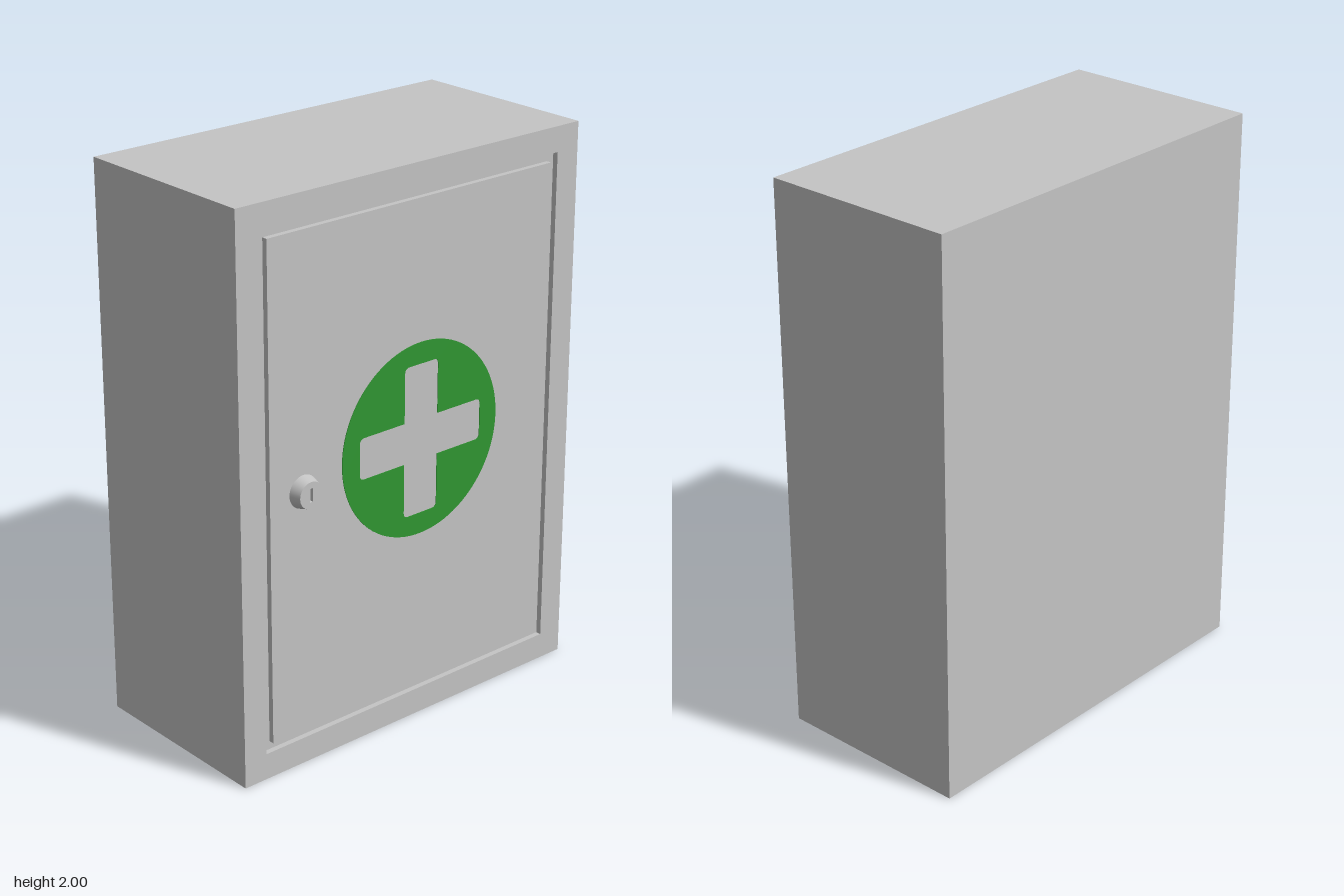
import * as THREE from 'three';

const FRONT = 0.34, BACK = -0.38, GROOVE = 0.32;

function add(group, name, geometry, material, x = 0, y = 0, z = 0) {
  const mesh = new THREE.Mesh(geometry, material);
  mesh.name = name;
  mesh.position.set(x, y, z);
  group.add(mesh);
  return mesh;
}

// Skin through rectangular rings [x0, x1, y0, y1, z], capped at both ends
function rectLoft(rings) {
  const loops = rings.map(([x0, x1, y0, y1, z]) =>
    [[x0, y0, z], [x1, y0, z], [x1, y1, z], [x0, y1, z]]);
  const pos = [];
  const quad = (a, b, c, d) => [a, b, c, a, c, d].forEach(p => pos.push(...p));
  for (let r = 0; r < loops.length - 1; r++) {
    for (let i = 0; i < 4; i++) {
      const j = (i + 1) % 4;
      quad(loops[r][i], loops[r][j], loops[r + 1][j], loops[r + 1][i]);
    }
  }
  quad(...loops[0].slice().reverse());
  quad(...loops[loops.length - 1]);
  const geometry = new THREE.BufferGeometry();
  geometry.setAttribute('position', new THREE.Float32BufferAttribute(pos, 3));
  geometry.computeVertexNormals();
  return geometry;
}

// Plus-shaped path with rounded outer corners
function crossPath(len, half, r) {
  const path = new THREE.Path();
  for (let k = 0; k < 4; k++) {
    const c = Math.round(Math.cos(k * Math.PI / 2)), s = Math.round(Math.sin(k * Math.PI / 2));
    const p = (x, y) => [x * c - y * s, x * s + y * c];
    if (k === 0) path.moveTo(...p(half, -half));
    else path.lineTo(...p(half, -half));
    path.lineTo(...p(len - r, -half));
    path.quadraticCurveTo(...p(len, -half), ...p(len, -half + r));
    path.lineTo(...p(len, half - r));
    path.quadraticCurveTo(...p(len, half), ...p(len - r, half));
  }
  path.closePath();
  return path;
}

export function createModel() {
  const model = new THREE.Group();
  model.name = 'firstAidCabinet';
  const grey = new THREE.MeshStandardMaterial({ color: 0xc4c4c4 });
  grey.name = 'greyMetal';
  const green = new THREE.MeshStandardMaterial({ color: 0x309632 });
  green.name = 'greenPaint';

  // Cabinet with a shallow recess for the door
  add(model, 'cabinet', rectLoft([
    [-0.735, 0.735, 0, 2, BACK],
    [-0.735, 0.735, 0, 2, FRONT],
    [-0.645, 0.64, 0.095, 1.91, FRONT],
    [-0.645, 0.64, 0.095, 1.91, GROOVE],
  ]), grey);

  // Door, flush with the frame
  add(model, 'door', new THREE.BoxGeometry(1.225, 1.755, 0.03), grey, -0.0025, 1.0025, FRONT - 0.015);

  // Green disc with the cross left open
  const disc = new THREE.Shape().absarc(0, 0, 0.346, 0, Math.PI * 2, false);
  disc.holes.push(crossPath(0.27, 0.074, 0.02));
  add(model, 'crossEmblem', new THREE.ExtrudeGeometry(disc,
    { depth: 0.002, bevelEnabled: false, curveSegments: 48 }), green, 0.032, 1.04, FRONT);

  // Tapered lock with a key slot
  const lock = new THREE.Group();
  lock.name = 'lock';
  lock.position.set(-0.477, 1.0, FRONT);
  model.add(lock);
  const profile = [[0.058, 0], [0.047, 0.04]].map(p => new THREE.Vector2(...p));
  add(lock, 'lockBody', new THREE.LatheGeometry(profile, 40), grey).rotation.x = Math.PI / 2;
  const face = new THREE.Shape().absarc(0, 0, 0.047, 0, Math.PI * 2, false);
  const slot = new THREE.Path();
  slot.moveTo(-0.006, -0.024).lineTo(-0.006, 0.024).lineTo(0.006, 0.024).lineTo(0.006, -0.024).closePath();
  face.holes.push(slot);
  add(lock, 'lockFace', new THREE.ExtrudeGeometry(face,
    { depth: 0.012, bevelEnabled: false, curveSegments: 20 }), grey, 0, 0, 0.028);
  add(lock, 'keySlotFloor', new THREE.PlaneGeometry(0.012, 0.048), grey, 0, 0, 0.028);

  return model;
}
